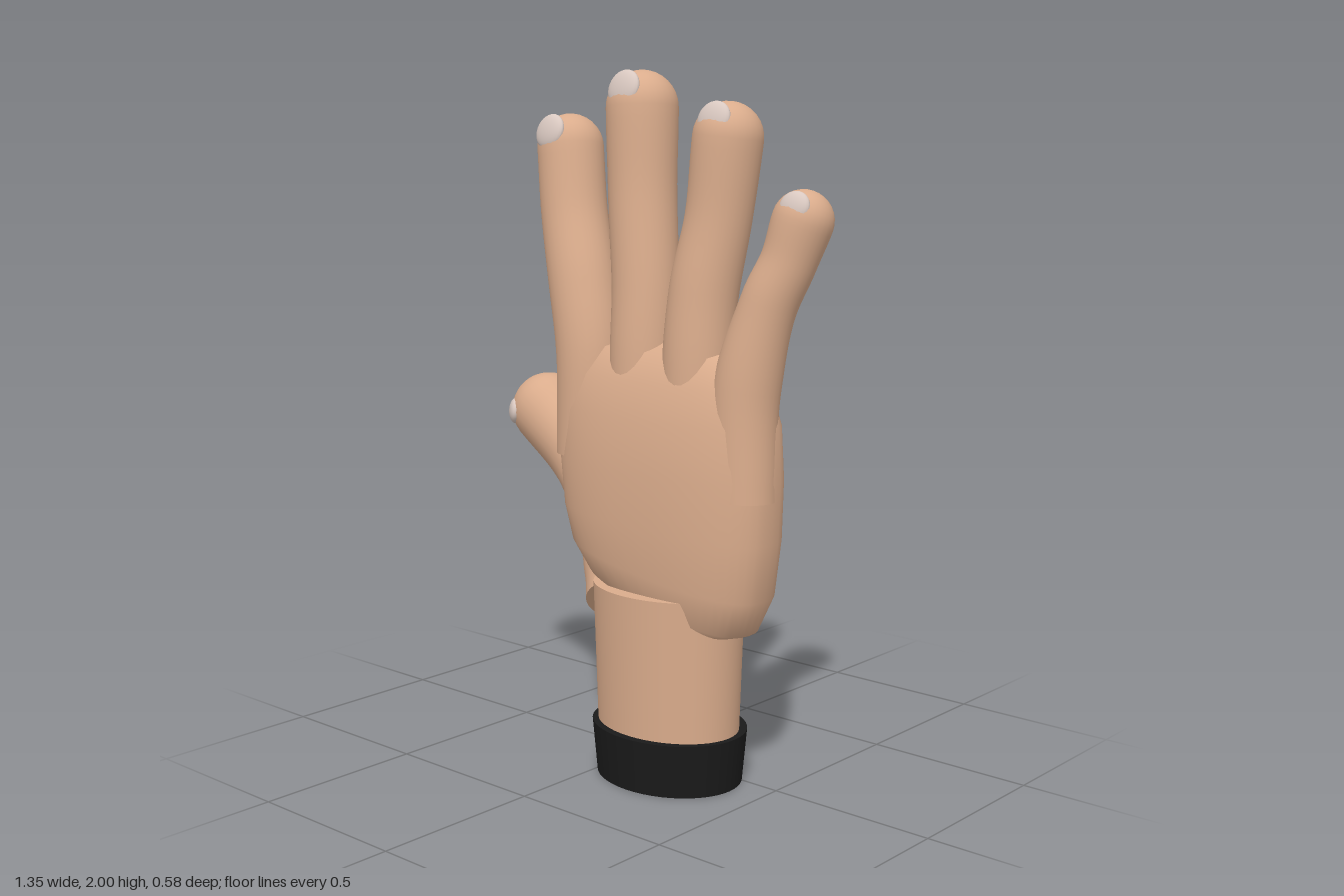
import * as THREE from 'three';

const V = (a) => new THREE.Vector3(...a);
const skin = new THREE.MeshStandardMaterial({ color: 0xdaac8c });
skin.name = 'skin';
const nailMat = new THREE.MeshStandardMaterial({ color: 0xd9c8c0 });
nailMat.name = 'nail';
const cuffMat = new THREE.MeshStandardMaterial({ color: 0x1a1a1a });
cuffMat.name = 'cuff black';

// Skins a list of closed rings, each an equal-length array of Vector3
function loft(rings) {
  const n = rings[0].length;
  const index = [];
  for (let i = 0; i < rings.length - 1; i++) {
    for (let j = 0; j < n; j++) {
      const k = (j + 1) % n;
      const a = i * n + j, b = i * n + k, c = a + n, d = b + n;
      index.push(a, b, c, b, d, c);
    }
  }
  const g = new THREE.BufferGeometry().setFromPoints(rings.flat());
  g.setIndex(index);
  g.computeVertexNormals();
  return g;
}

function add(group, name, geometry, material) {
  const mesh = new THREE.Mesh(geometry, material);
  mesh.name = name;
  group.add(mesh);
  return mesh;
}

// Finger: rows of [x, y, z, radius] from the flat base to the round tip
function fingerGeometry(rows, ref) {
  const curve = new THREE.CatmullRomCurve3(rows.map((r) => V(r.slice(0, 3))));
  const SEG = 28, SIDES = 28, CAP = 8;
  const ring = (c, t, r) => {
    const u = ref.clone().addScaledVector(t, -ref.dot(t)).normalize();
    const v = t.clone().cross(u);
    return Array.from({ length: SIDES }, (_, j) => {
      const a = (j / SIDES) * Math.PI * 2;
      return c.clone().addScaledVector(u, r * Math.cos(a)).addScaledVector(v, r * Math.sin(a));
    });
  };
  const rings = [];
  const t0 = curve.getTangent(0), p0 = curve.getPoint(0);
  rings.push(ring(p0, t0, 0), ring(p0, t0, rows[0][3]));
  for (let i = 0; i <= SEG; i++) {
    const s = (i / SEG) * (rows.length - 1);
    const k = Math.min(Math.floor(s), rows.length - 2);
    const f = THREE.MathUtils.smoothstep(s - k, 0, 1);
    const r = THREE.MathUtils.lerp(rows[k][3], rows[k + 1][3], f);
    rings.push(ring(curve.getPoint(i / SEG), curve.getTangent(i / SEG), r));
  }
  const end = curve.getPoint(1), t1 = curve.getTangent(1), R = rows[rows.length - 1][3];
  for (let i = 1; i <= CAP; i++) {
    const a = (i / CAP) * Math.PI / 2;
    rings.push(ring(end.clone().addScaledVector(t1, R * Math.sin(a)), t1, i === CAP ? 0 : R * Math.cos(a)));
  }
  return loft(rings);
}

// Palm: rows of [y, centre x, half width, half depth, sideways slope]
function palmGeometry() {
  const rows = [
    [0.49, 0.2, 0, 0, 0.25],
    [0.49, 0.2, 0.19, 0.1, 0.25],
    [0.53, 0.19, 0.28, 0.135, 0.23],
    [0.62, 0.185, 0.335, 0.155, 0.15],
    [0.75, 0.18, 0.362, 0.16, 0.05],
    [0.9, 0.175, 0.373, 0.16, 0],
    [1.05, 0.175, 0.368, 0.145, 0],
    [1.15, 0.18, 0.335, 0.115, 0.02],
    [1.23, 0.2, 0.25, 0.08, 0],
    [1.27, 0.21, 0, 0, 0],
  ];
  const SIDES = 48;
  const power = (v) => Math.sign(v) * Math.pow(Math.abs(v), 0.8);
  const ring = ([y, cx, rx, rz, slope]) => Array.from({ length: SIDES }, (_, j) => {
    const a = (j / SIDES) * Math.PI * 2;
    const dx = rx * power(Math.sin(a));
    return new THREE.Vector3(cx + dx, y - slope * dx, 0.09 + rz * power(Math.cos(a)));
  });
  return loft(rows.map(ring));
}

export function createModel() {
  const hand = new THREE.Group();
  hand.name = 'hand';

  // Cuff and wrist, both oval
  const cuff = add(hand, 'cuff', new THREE.CylinderGeometry(0.24, 0.225, 0.155, 48), cuffMat);
  cuff.scale.z = 0.82;
  cuff.position.set(0.18, 0.0775, 0.09);
  const wrist = add(hand, 'wrist', new THREE.CylinderGeometry(0.238, 0.222, 0.46, 48), skin);
  wrist.scale.z = 0.76;
  wrist.position.set(0.178, 0.33, 0.093);

  add(hand, 'palm', palmGeometry(), skin);

  // Fingers, each with a nail: position, facing direction, half width, half height
  const digits = [
    {
      name: 'indexFinger',
      rows: [[-0.113, 0.91, 0.1, 0.102], [-0.115, 1.2, 0.1, 0.1], [-0.158, 1.4, 0.085, 0.1], [-0.215, 1.6, 0.06, 0.097], [-0.248, 1.785, 0.04, 0.097]],
      nail: [[-0.26, 1.83, 0.112], [-0.08, 0.3, 1], 0.055, 0.052],
    },
    {
      name: 'middleFinger',
      rows: [[0.09, 1.0, 0.1, 0.1], [0.09, 1.2, 0.1, 0.096], [0.083, 1.4, 0.085, 0.095], [0.055, 1.65, 0.065, 0.097], [0.04, 1.898, 0.05, 0.102]],
      nail: [[0.036, 1.947, 0.122], [-0.03, 0.3, 1], 0.056, 0.054],
    },
    {
      name: 'ringFinger',
      rows: [[0.29, 1.0, 0.1, 0.1], [0.288, 1.2, 0.1, 0.098], [0.296, 1.4, 0.085, 0.096], [0.325, 1.6, 0.06, 0.092], [0.344, 1.815, 0.045, 0.097]],
      nail: [[0.346, 1.863, 0.108], [0.03, 0.3, 1], 0.053, 0.05],
    },
    {
      name: 'littleFinger',
      rows: [[0.458, 0.85, 0.11, 0.092], [0.46, 1.15, 0.1, 0.092], [0.515, 1.38, 0.08, 0.078], [0.558, 1.49, 0.055, 0.076], [0.588, 1.6, 0.033, 0.083]],
      nail: [[0.598, 1.637, 0.085], [0.08, 0.3, 1], 0.046, 0.044],
    },
    {
      name: 'thumb',
      rows: [[-0.055, 0.46, 0.03, 0.11], [-0.12, 0.55, -0.05, 0.125], [-0.235, 0.7, -0.125, 0.13], [-0.39, 0.835, -0.165, 0.117], [-0.56, 0.955, -0.175, 0.117]],
      nail: [[-0.63, 0.952, -0.093], [-0.75, 0.05, 0.75], 0.045, 0.04],
      ref: V([0.65, 0.75, 0]),
    },
  ];
  for (const { name, rows, nail, ref } of digits) {
    const digit = new THREE.Group();
    digit.name = name;
    add(digit, name + 'Flesh', fingerGeometry(rows, ref || V([1, 0, 0])), skin);
    const [pos, dir, w, h] = nail;
    const plate = add(digit, name + 'Nail', new THREE.SphereGeometry(1, 24, 16), nailMat);
    plate.scale.set(w, h, 0.02);
    plate.position.set(...pos);
    plate.quaternion.setFromUnitVectors(V([0, 0, 1]), V(dir).normalize());
    hand.add(digit);
  }
  return hand;
}
